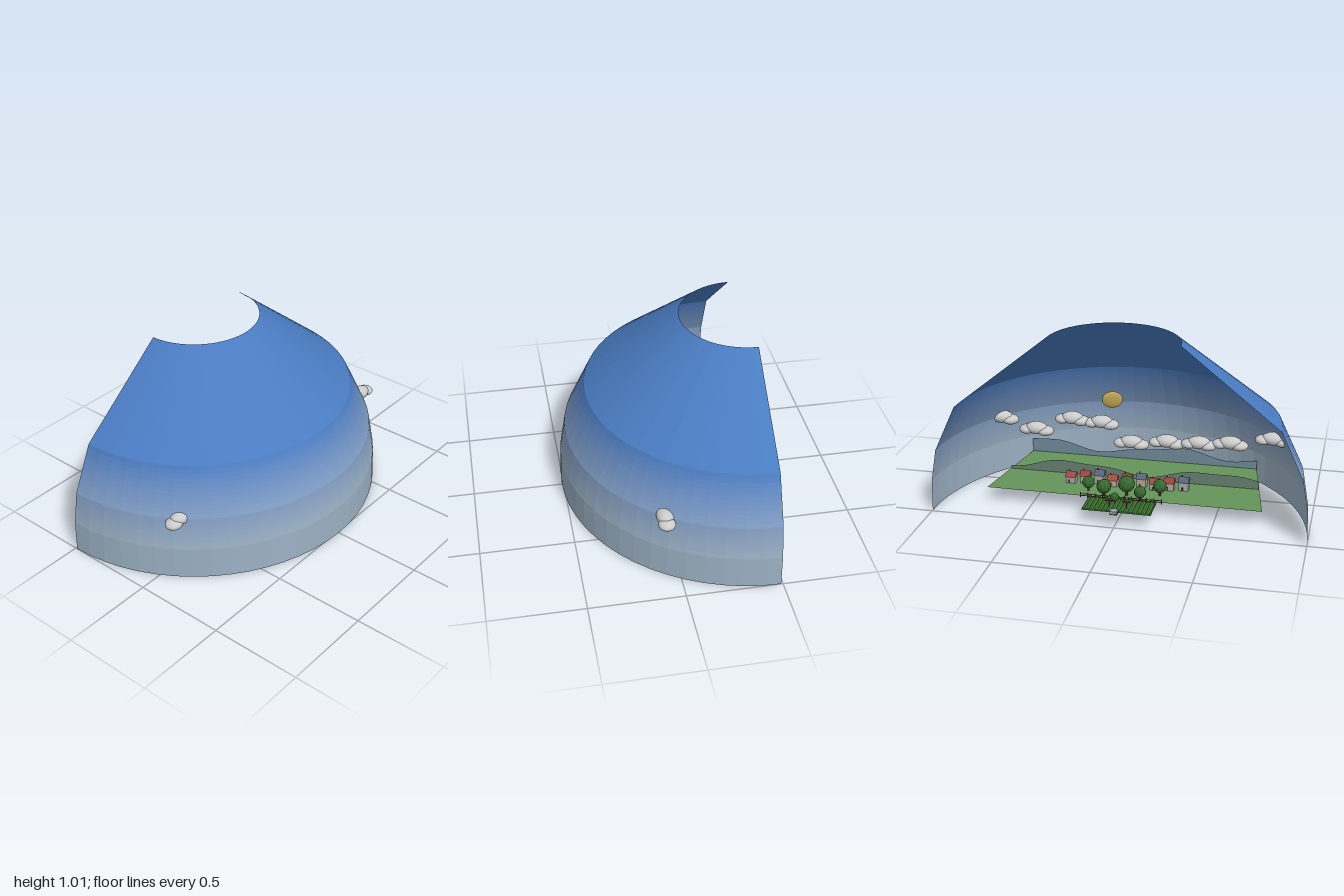
import * as THREE from 'three';

const CZ = -0.49; // centre of the half dome
const GY = 0.08;  // ground level

const mat = (color, extra = {}) => new THREE.MeshStandardMaterial({ color, flatShading: true, ...extra });
const both = { side: THREE.DoubleSide };

function add(parent, name, geo, material, x = 0, y = 0, z = 0) {
  const m = new THREE.Mesh(geo, material);
  m.name = name;
  m.position.set(x, y, z);
  parent.add(m);
  return m;
}

function group(parent, name, x = 0, y = 0, z = 0) {
  const g = new THREE.Group();
  g.name = name;
  g.position.set(x, y, z);
  parent.add(g);
  return g;
}

// Half dome in stacked bands, fading from pale haze to blue
function buildSky(root) {
  const sky = group(root, 'skyDome', 0, 0, CZ);
  const profile = [[1, 0], [0.995, 0.175], [0.965, 0.35], [0.85, 0.6], [0.34, 1.01]];
  const steps = [1, 8, 12, 1];
  const haze = new THREE.Color(0x9bb0c3), blue = new THREE.Color(0x4a7cc2);
  for (let i = 0; i < 4; i++) {
    const a = new THREE.Vector2(...profile[i]), b = new THREE.Vector2(...profile[i + 1]);
    for (let j = 0; j < steps[i]; j++) {
      const p = a.clone().lerp(b, j / steps[i]), q = a.clone().lerp(b, (j + 1) / steps[i]);
      const t = THREE.MathUtils.clamp(((p.y + q.y) / 2 - 0.175) / 0.425, 0, 1);
      add(sky, 'skyBand', new THREE.LatheGeometry([p, q], 32, -Math.PI / 2, Math.PI),
        mat(haze.clone().lerp(blue, t), both));
    }
  }
}

// Flat trapezoid meadow reaching back to the dome
function buildGround(root) {
  const s = new THREE.Shape([[-0.75, 0.31], [0.75, 0.31], [0.656, -0.25], [-0.656, -0.25]]
    .map(p => new THREE.Vector2(...p)));
  const g = new THREE.ShapeGeometry(s);
  g.rotateX(-Math.PI / 2);
  add(root, 'meadow', g, mat(0x64935a, both), 0, GY, 0);
}

// Upright hill silhouette with a wavy crest
function buildHill(root, name, z, halfWidth, base, height, phase, color) {
  const s = new THREE.Shape();
  s.moveTo(-halfWidth, base);
  s.lineTo(halfWidth, base);
  for (let i = 0; i <= 32; i++) {
    const x = halfWidth * (1 - i / 16);
    s.lineTo(x, GY + height + 0.025 * Math.sin(x * 8 + phase) + 0.008 * Math.sin(x * 17));
  }
  add(root, name, new THREE.ShapeGeometry(s), mat(color, both), 0, 0, z);
}

// Clouds made of overlapping stretched puffs
function buildClouds(root) {
  const spots = [[0.78, 0.345, 0.07], [0.57, 0.3, 0.05], [0.38, 0.35, 0.12], [0.21, 0.34, 0.12],
    [0.02, 0.27, 0.03], [-0.18, 0.29, 0.03], [-0.36, 0.3, 0.02], [-0.53, 0.31, 0.03], [-0.76, 0.34, 0.06]];
  const puff = new THREE.IcosahedronGeometry(1, 2);
  const material = new THREE.MeshStandardMaterial({ color: 0xcccccc });
  for (const [x, y, z] of spots) {
    const cloud = group(root, 'cloud', x, y, z);
    [[-0.05, -0.008, 0.05, 0.028], [0, 0.006, 0.065, 0.036], [0.055, -0.004, 0.045, 0.026]].forEach(([px, py, w, h]) =>
      add(cloud, 'cloudPuff', puff, material, px, py, 0).scale.set(w, h, 0.045));
  }
}

function buildHouse(parent, x, z, i) {
  const house = group(parent, 'house', x, GY, z);
  const w = 0.052, h = 0.036 + 0.006 * (i % 3), d = 0.05;
  add(house, 'walls', new THREE.BoxGeometry(w, h, d), mat(i % 2 ? 0xb5a898 : 0xa9a9a6), 0, h / 2, 0);
  const s = new THREE.Shape([[-d / 2 - 0.005, 0], [d / 2 + 0.005, 0], [0, 0.026]].map(p => new THREE.Vector2(...p)));
  const roof = new THREE.ExtrudeGeometry(s, { depth: w + 0.006, bevelEnabled: false });
  roof.translate(0, 0, -(w + 0.006) / 2);
  roof.rotateY(Math.PI / 2);
  add(house, 'roof', roof, mat([0xa04a45, 0x9c4240, 0x59647c][i % 3]), 0, h, 0);
  add(house, 'door', new THREE.BoxGeometry(0.01, 0.02, 0.003), mat(0x4a3528), 0.008, 0.01, -d / 2);
  add(house, 'chimney', new THREE.BoxGeometry(0.008, 0.02, 0.008), mat(0x7a5a50), 0.014, h + 0.02, 0.006);
}

function buildTree(parent, x, z, r) {
  const tree = group(parent, 'tree', x, GY, z);
  add(tree, 'trunk', new THREE.CylinderGeometry(r * 0.14, r * 0.2, r * 1.2, 6), mat(0x58402c), 0, r * 0.6, 0);
  const crown = add(tree, 'crown', new THREE.IcosahedronGeometry(r, 1), mat(0x35692f), 0, r * 1.45, 0);
  crown.rotation.y = x * 9;
}

// Ploughed crop field with raised rows
function buildField(root) {
  const field = group(root, 'cropField', 0, GY - 0.004, -0.385);
  add(field, 'fieldBase', new THREE.BoxGeometry(0.37, 0.004, 0.17), mat(0x3c7430), -0.005, 0, 0);
  for (let i = 0; i < 16; i++) {
    add(field, 'cropRow', new THREE.BoxGeometry(0.011, 0.008, 0.17), mat(0x4b8a3a), -0.178 + i * 0.0231, 0.004, 0);
  }
}

function buildFence(root) {
  const fence = group(root, 'fence', 0, GY, -0.33);
  const wood = mat(0x4a3a2c);
  for (const y of [0.01, 0.02]) add(fence, 'rail', new THREE.BoxGeometry(0.44, 0.003, 0.003), wood, 0, y, 0);
  for (let i = 0; i < 12; i++) add(fence, 'post', new THREE.BoxGeometry(0.005, 0.028, 0.005), wood, -0.22 + i * 0.04, 0.014, 0);
}

// Little figures with outstretched arms among the crops
function buildScarecrow(root, x, z) {
  const g = group(root, 'scarecrow', x, GY, z);
  const wood = mat(0x5b4030);
  add(g, 'pole', new THREE.BoxGeometry(0.005, 0.045, 0.005), wood, 0, 0.0225, 0);
  add(g, 'arms', new THREE.BoxGeometry(0.045, 0.006, 0.006), wood, 0, 0.032, 0);
  add(g, 'head', new THREE.IcosahedronGeometry(0.008, 1), mat(0xb08a60), 0, 0.05, 0);
}

// Small cart at the front of the field
function buildCart(root) {
  const cart = group(root, 'cart', 0, 0, -0.49);
  add(cart, 'cartBody', new THREE.BoxGeometry(0.038, 0.012, 0.04), mat(0x8fa3b0), 0, 0.091, 0);
  add(cart, 'cartBase', new THREE.BoxGeometry(0.028, 0.008, 0.036), mat(0x6a5040), 0, 0.081, 0);
  const wheel = new THREE.CylinderGeometry(0.007, 0.007, 0.005, 10).rotateZ(Math.PI / 2);
  for (const sx of [-1, 1]) for (const sz of [-1, 1])
    add(cart, 'wheel', wheel, mat(0x2b2624), sx * 0.017, 0.081, sz * 0.012);
}

export function createModel() {
  const root = new THREE.Group();
  root.name = 'villageDiorama';
  buildSky(root);
  buildGround(root);
  buildHill(root, 'farHill', 0.249, 0.656, GY, 0.06, 3, 0x71889a);
  buildHill(root, 'nearHill', -0.03, 0.7, GY - 0.03, 0.05, 5.2, 0x66806f);
  buildClouds(root);

  // Sun hanging inside the dome, tilted towards the field
  const sun = add(root, 'sun', new THREE.SphereGeometry(0.06, 24, 12), new THREE.MeshStandardMaterial({ color: 0xd9bd62 }), 0.2, 0.4, 0.34);
  sun.scale.z = 0.2;
  sun.lookAt(0, 0.1, CZ);

  const village = group(root, 'village');
  for (let i = 0; i < 9; i++) buildHouse(village, 0.32 - i * 0.078, -0.125 + 0.012 * ((i % 3) - 1), i);

  const trees = group(root, 'trees');
  [[-0.19, -0.22, 0.038], [-0.1, -0.305, 0.033], [-0.015, -0.255, 0.046], [0.1, -0.293, 0.04],
    [0.2, -0.235, 0.034], [0.025, -0.365, 0.024]].forEach(t => buildTree(trees, ...t));

  buildField(root);
  buildFence(root);
  buildScarecrow(root, -0.05, -0.41);
  buildScarecrow(root, 0.045, -0.41);
  buildCart(root);
  return root;
}
